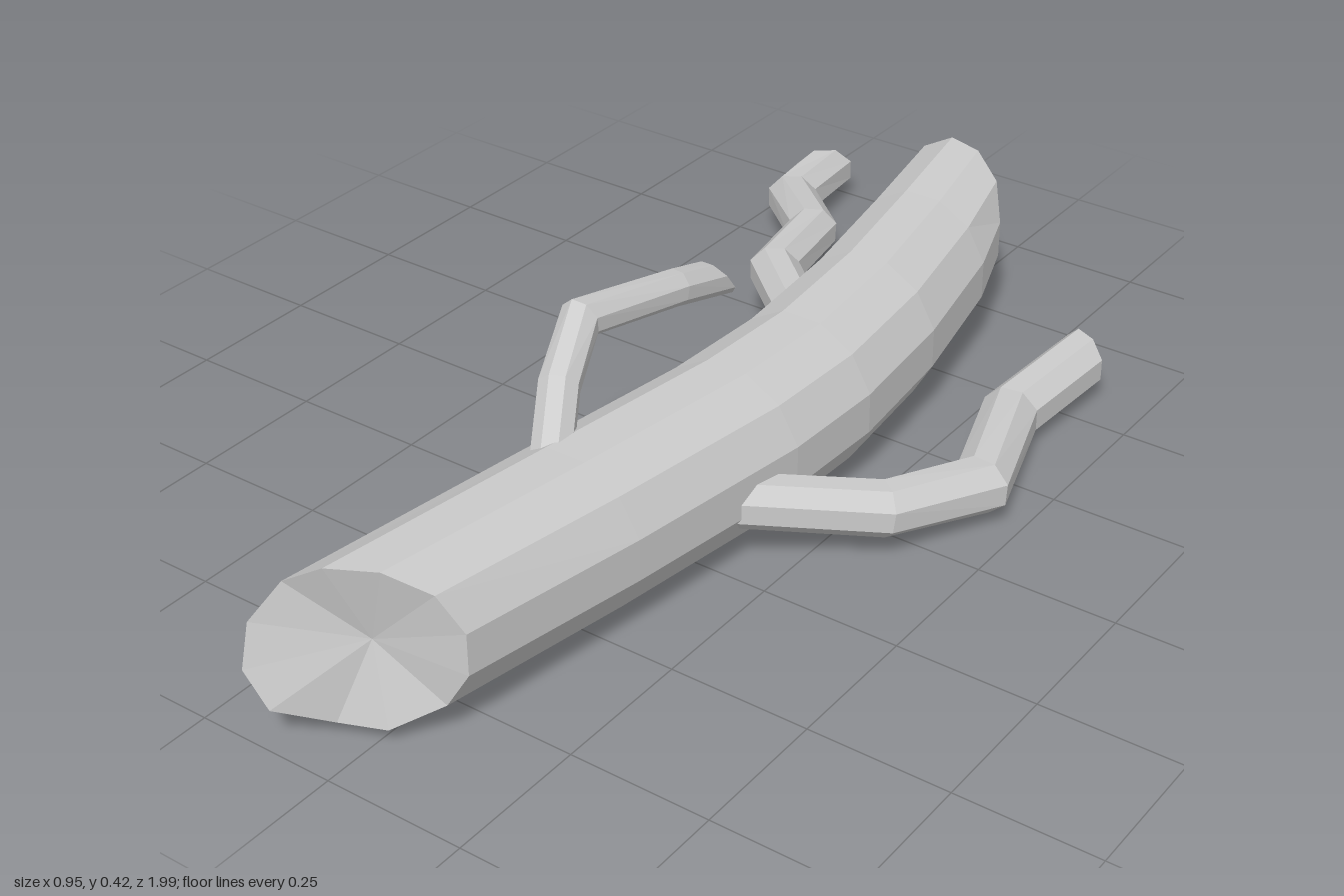
import * as THREE from 'three';

const V = (x, y, z) => new THREE.Vector3(x, y, z);
const material = new THREE.MeshStandardMaterial({ color: 0xcccccc, flatShading: true });

// Skin a row of closed rings and close both ends with fans
function loft(name, rings, startCentre, endCentre) {
  const pos = [];
  const tri = (...pts) => pts.forEach((p) => pos.push(p.x, p.y, p.z));
  const n = rings[0].length;
  const last = rings[rings.length - 1];
  for (let j = 0; j < n; j++) {
    const k = (j + 1) % n;
    for (let i = 0; i < rings.length - 1; i++) {
      const a = rings[i][j], b = rings[i][k], c = rings[i + 1][j], d = rings[i + 1][k];
      tri(a, c, b);
      tri(c, d, b);
    }
    tri(startCentre, rings[0][j], rings[0][k]);
    tri(endCentre, last[k], last[j]);
  }
  const geo = new THREE.BufferGeometry();
  geo.setAttribute('position', new THREE.Float32BufferAttribute(pos, 3));
  geo.computeVertexNormals();
  const mesh = new THREE.Mesh(geo, material);
  mesh.name = name;
  return mesh;
}

// Bowed twelve-sided trunk with broken, uneven ends
function trunk() {
  const frontZ = [0.82, 0.84, 0.88, 0.92, 0.94, 0.98, 1.0, 0.99, 0.92, 0.89, 0.83, 0.82];
  const backZ = [-0.73, -0.77, -0.8, -0.82, -0.82, -0.85, -0.89, -0.87, -0.82, -0.79, -0.76, -0.73];
  // centre x, centre y, z, radius
  const stations = [
    [-0.016, 0.17, frontZ, 0.144],
    [0.03, 0.155, 0.47, 0.145],
    [0.07, 0.144, 0.1, 0.146],
    [0.075, 0.141, -0.11, 0.145],
    [0.055, 0.145, -0.35, 0.143],
    [0.012, 0.153, -0.6, 0.138],
    [-0.025, 0.168, backZ, 0.133],
  ];
  const rings = stations.map(([x, y, z, r]) =>
    Array.from({ length: 12 }, (_, j) => {
      const a = ((j + 0.5) / 12) * Math.PI * 2;
      return V(x + r * Math.cos(a), y + r * Math.sin(a), Array.isArray(z) ? z[j] : z);
    }));
  return loft('trunk', rings, V(-0.016, 0.17, 0.87), V(-0.025, 0.168, -0.79));
}

// Crooked branch with mitred joints; cut is the normal of the sawn tip
function branch(name, points, radii, cut, sides = 8) {
  const pts = points.map((p) => V(...p));
  const end = pts.length - 1;
  const dir = (i) => pts[i + 1].clone().sub(pts[i]).normalize();
  const rings = pts.map((p, i) => {
    const d = dir(Math.max(i - 1, 0));
    const n = i === 0 ? d : i === end ? V(...cut).normalize() : d.clone().add(dir(i)).normalize();
    const side = d.clone().cross(V(0, 1, 0)).normalize();
    const up = side.clone().cross(d);
    return Array.from({ length: sides }, (_, j) => {
      const a = ((j + 0.5) / sides) * Math.PI * 2;
      const o = side.clone().multiplyScalar(Math.cos(a)).addScaledVector(up, Math.sin(a))
        .multiplyScalar(radii[i]);
      // slide along the branch onto the joint plane
      return o.addScaledVector(d, -o.dot(n) / d.dot(n)).add(p);
    });
  });
  return loft(name, rings, pts[0], pts[end]);
}

export function createModel() {
  const group = new THREE.Group();
  group.name = 'fallenLog';
  group.add(
    trunk(),
    branch('rightBranch',
      [[-0.01, 0.13, -0.27], [-0.225, 0.115, -0.47], [-0.27, 0.1, -0.665], [-0.415, 0.068, -0.81], [-0.435, 0.062, -0.957]],
      [0.046, 0.047, 0.047, 0.048, 0.049], [-0.08, 0, -0.09]),
    branch('leftBranch',
      [[0.14, 0.125, 0.23], [0.345, 0.085, 0.045], [0.425, 0.068, -0.13], [0.345, 0.058, -0.365], [0.363, 0.066, -0.597]],
      [0.046, 0.048, 0.05, 0.052, 0.052], [0.05, 0, -0.11]),
    branch('topBranch',
      [[-0.015, 0.26, 0.45], [-0.068, 0.33, 0.36], [-0.11, 0.386, 0.25], [-0.085, 0.35, 0.03], [-0.085, 0.316, -0.09]],
      [0.035, 0.035, 0.034, 0.032, 0.032], [0, 0.04, -0.055]),
  );
  return group;
}
